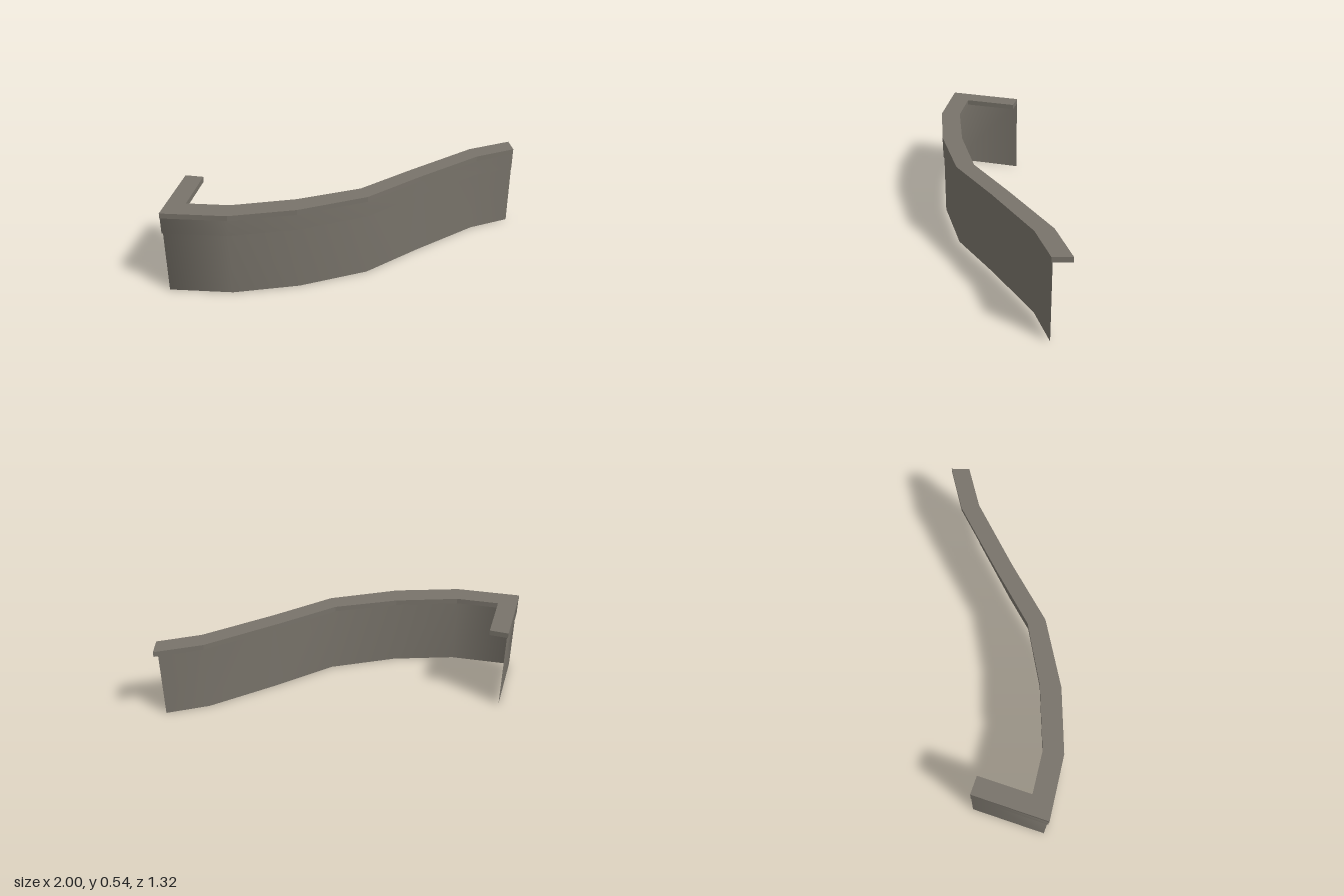
import * as THREE from 'three';

// Plan outline as [x, z], from the short return leg round to the far end
const outer = [[-1, 0.18], [-0.995, 0.655], [-0.6, 0.615], [-0.22, 0.475], [0.16, 0.25], [0.44, -0.06], [0.77, -0.4], [1, -0.55]];
const inner = [[-0.885, 0.18], [-0.88, 0.515], [-0.62, 0.49], [-0.25, 0.35], [0.1, 0.155], [0.37, -0.14], [0.715, -0.5], [0.965, -0.66]];

// Upright sheet following the outline, inset by fraction t towards the inner edge
function sheet(t, y0, y1) {
  const positions = [], index = [];
  outer.forEach(([x, z], i) => {
    const px = x + (inner[i][0] - x) * t;
    const pz = z + (inner[i][1] - z) * t;
    positions.push(px, y0, pz, px, y1, pz);
    if (i > 0) {
      const a = 2 * i - 2;
      index.push(a, a + 2, a + 1, a + 1, a + 2, a + 3);
    }
  });
  const geometry = new THREE.BufferGeometry();
  geometry.setAttribute('position', new THREE.Float32BufferAttribute(positions, 3));
  geometry.setIndex(index);
  geometry.computeVertexNormals();
  return geometry;
}

// Flat slab between the outer and inner edges
function slab(y0, y1) {
  const outline = [...outer, ...[...inner].reverse()].map(([x, z]) => new THREE.Vector2(x, -z));
  const geometry = new THREE.ExtrudeGeometry(new THREE.Shape(outline), { depth: y1 - y0, bevelEnabled: false });
  return geometry.rotateX(-Math.PI / 2).translate(0, y0, 0);
}

export function createModel() {
  const model = new THREE.Group();
  model.name = 'curvedWall';
  const stone = new THREE.MeshStandardMaterial({ color: 0x78736a, side: THREE.DoubleSide });
  stone.name = 'warmGreyStone';

  const add = (name, geometry) => {
    const mesh = new THREE.Mesh(geometry, stone);
    mesh.name = name;
    model.add(mesh);
  };

  add('wall', sheet(0.06, 0, 0.51)); // thin main wall
  add('upperBand', sheet(0.01, 0.405, 0.51)); // slightly proud band below the ledge
  add('topLedge', slab(0.507, 0.54)); // capping ledge overhanging inwards
  return model;
}
